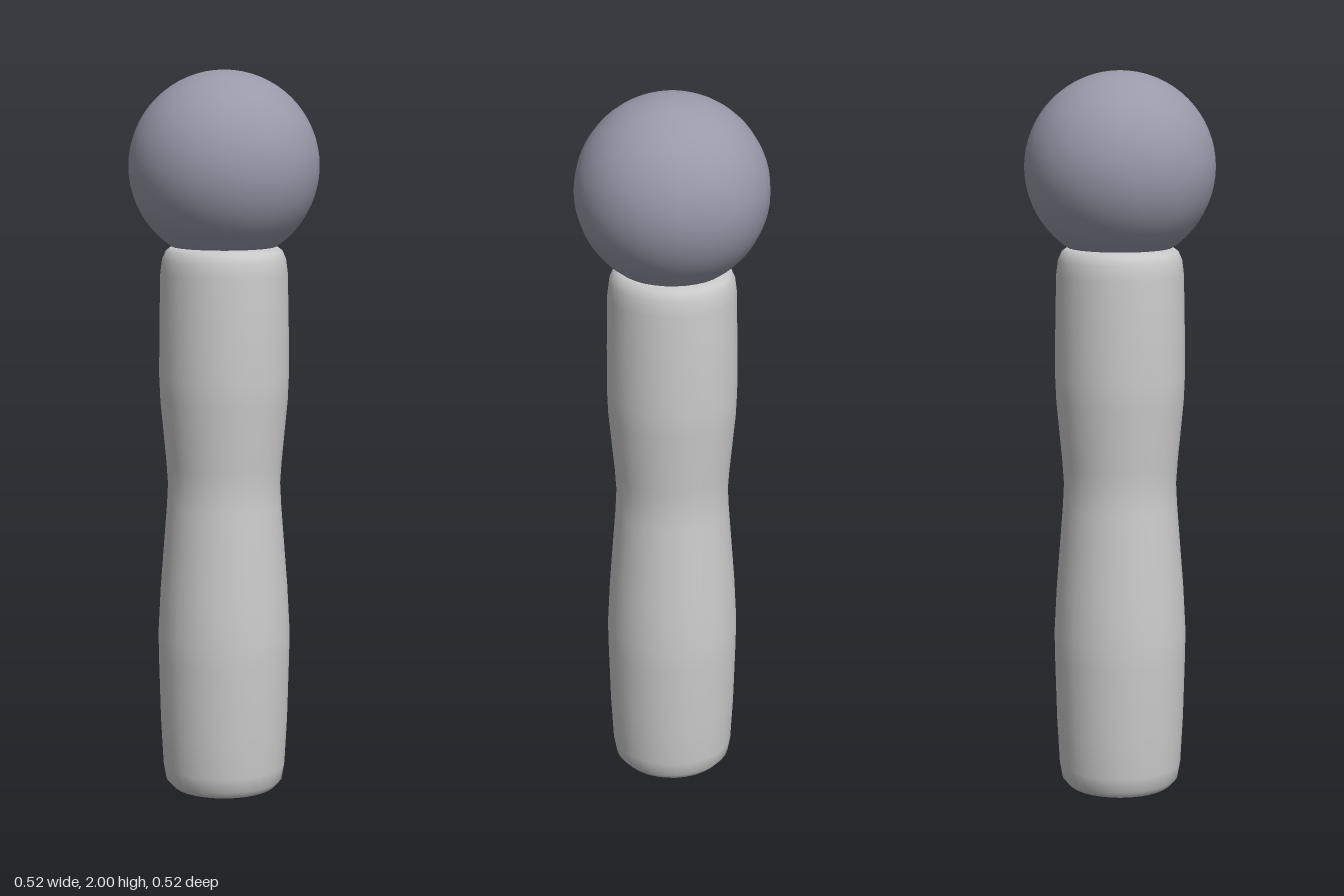
import * as THREE from 'three';

export function createModel() {
  const model = new THREE.Group();

  // Contoured grip, narrowed at the waist and rounded at both ends
  const profile = [
    [0, 0], [0.11, 0.002], [0.145, 0.01], [0.163, 0.03], [0.17, 0.07],
    [0.177, 0.2], [0.182, 0.38], [0.183, 0.45], [0.176, 0.58], [0.158, 0.81],
    [0.155, 0.87], [0.159, 0.93], [0.175, 1.1], [0.178, 1.17], [0.177, 1.3],
    [0.174, 1.45], [0.169, 1.49], [0.159, 1.513], [0.143, 1.525], [0, 1.525],
  ].map(([r, y]) => new THREE.Vector2(r, y));
  const handle = new THREE.Mesh(
    new THREE.LatheGeometry(profile, 32),
    new THREE.MeshStandardMaterial({ color: 0xcccccc }),
  );
  handle.name = 'handle';
  model.add(handle);

  // Ball head
  const head = new THREE.Mesh(
    new THREE.SphereGeometry(0.259, 32, 32),
    new THREE.MeshStandardMaterial({ color: 0x9999aa }),
  );
  head.name = 'ballHead';
  head.position.y = 1.741;
  model.add(head);

  return model;
}
